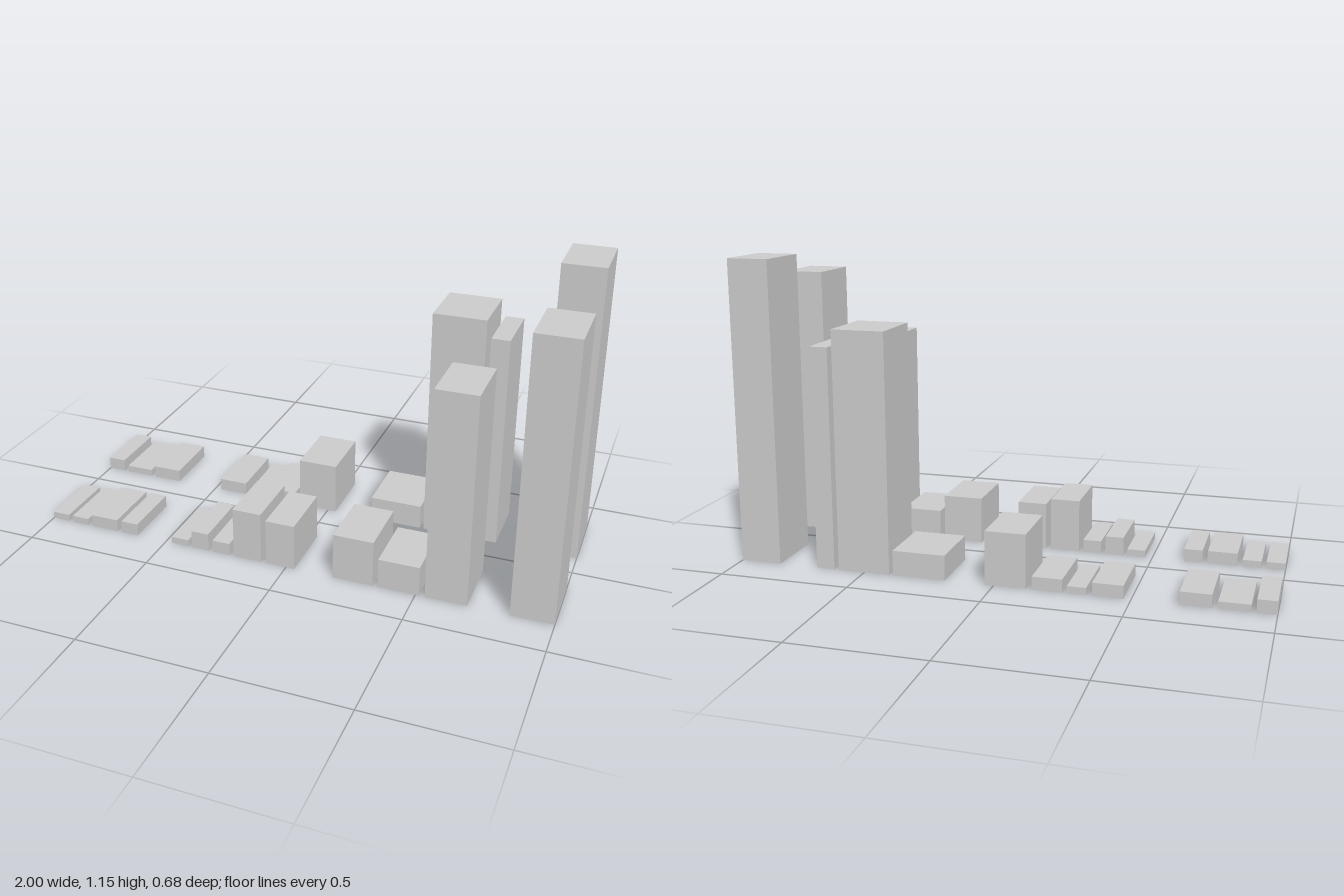
import * as THREE from 'three';

// Each bar: [x start, x end, height]
const FRONT_ROW = [
  [-1, -0.93, 0.027], [-0.912, -0.842, 0.027], [-0.823, -0.711, 0.049], [-0.692, -0.622, 0.049],
  [-0.473, -0.403, 0.027], [-0.388, -0.318, 0.071], [-0.3, -0.23, 0.049], [-0.212, -0.1, 0.203], [-0.08, 0.033, 0.181],
  [0.185, 0.339, 0.181], [0.358, 0.513, 0.116], [0.535, 0.69, 0.817],
  [0.842, 1, 1.059],
];
const BACK_ROW = [
  [-1, -0.93, 0.049], [-0.912, -0.8, 0.027], [-0.78, -0.668, 0.049],
  [-0.473, -0.361, 0.049], [-0.34, -0.27, 0.027], [-0.254, -0.142, 0.049], [-0.12, 0.033, 0.203],
  [0.185, 0.386, 0.095], [0.401, 0.602, 0.904], [0.62, 0.69, 0.838],
  [0.842, 1, 1.147],
];
const DEPTH = 0.237;
const ROW_Z = 0.2225;

// Box without its bottom face, standing on y = 0
function openBox(width, height, depth) {
  const geo = new THREE.BoxGeometry(width, height, depth).translate(0, height / 2, 0);
  const index = Array.from(geo.index.array);
  index.splice(18, 6); // the fourth face is the bottom
  geo.setIndex(index);
  geo.clearGroups();
  return geo;
}

export function createModel() {
  const model = new THREE.Group();
  model.name = 'barBlocks';
  const material = new THREE.MeshStandardMaterial({
    color: 0xcccccc, flatShading: true, side: THREE.DoubleSide,
  });

  // Two parallel rows of bars
  const addRow = (name, bars, z) => {
    const row = new THREE.Group();
    row.name = name;
    row.position.z = z;
    bars.forEach(([x0, x1, height], i) => {
      const bar = new THREE.Mesh(openBox(x1 - x0, height, DEPTH), material);
      bar.name = `${name}Bar${i + 1}`;
      bar.position.x = (x0 + x1) / 2;
      row.add(bar);
    });
    model.add(row);
  };
  addRow('frontRow', FRONT_ROW, ROW_Z);
  addRow('backRow', BACK_ROW, -ROW_Z);

  return model;
}
